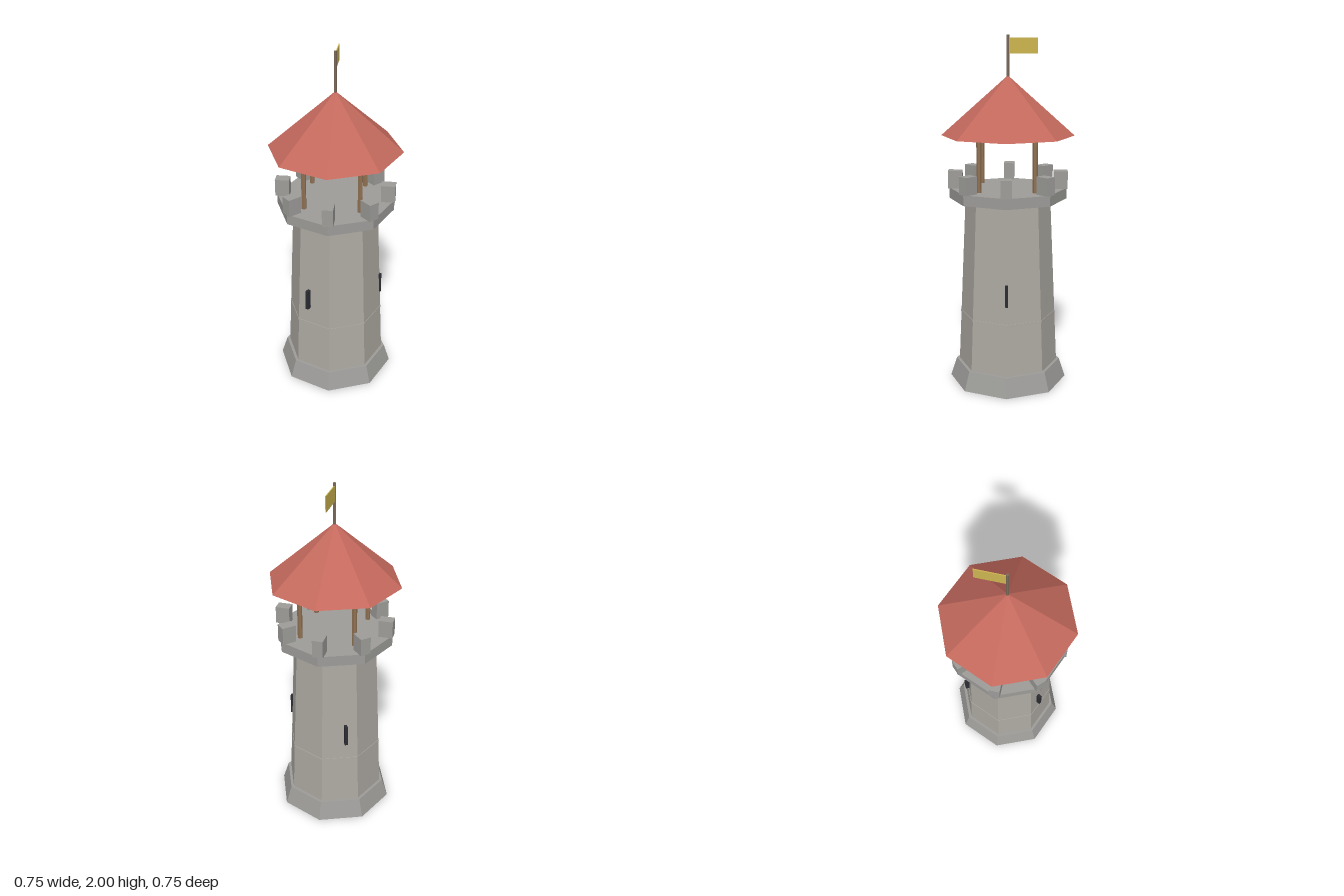
import * as THREE from 'three';

const mat = (color) => new THREE.MeshStandardMaterial({ color, flatShading: true });

export function createModel() {
  const tower = new THREE.Group();
  tower.name = 'watchtower';
  const wall = mat(0xada9a2), stone = mat(0x9d9c99), wood = mat(0x8f7152);
  const roofRed = mat(0xc4695d), slit = mat(0x2c2d33), pole = mat(0x7d6a5a), gold = mat(0xcdb550);

  function add(name, geometry, material, x = 0, y = 0, z = 0) {
    const mesh = new THREE.Mesh(geometry, material);
    mesh.name = name;
    mesh.position.set(x, y, z);
    tower.add(mesh);
    return mesh;
  }
  // upright prism or cone frustum between two heights
  function prism(name, rTop, rBottom, y0, y1, sides, material, x = 0, z = 0) {
    const geometry = new THREE.CylinderGeometry(rTop, rBottom, y1 - y0, sides);
    return add(name, geometry, material, x, (y0 + y1) / 2, z);
  }
  // box turned so that its local x points outward at the given angle
  function radialBox(name, size, radius, y, angle, material) {
    const mesh = add(name, new THREE.BoxGeometry(...size), material,
      radius * Math.cos(angle), y, radius * Math.sin(angle));
    mesh.rotation.y = -angle;
  }

  // octagonal masonry
  prism('foundation', 0.305, 0.34, 0, 0.11, 8, stone);
  prism('towerWall', 0.243, 0.288, 0.1, 1.09, 8, wall);
  prism('stringCourse', 0.2765, 0.277, 0.402, 0.414, 8, wall);
  prism('platform', 0.335, 0.335, 1.085, 1.145, 8, stone);

  // battlements, one on each corner
  for (let i = 0; i < 8; i++) {
    radialBox('merlon', [0.08, 0.1, 0.06], 0.3, 1.195, i * Math.PI / 4, stone);
  }

  // three window slits
  for (let i = 0; i < 3; i++) {
    radialBox('windowSlit', [0.026, 0.125, 0.017], 0.262, 0.58, i * Math.PI * 2 / 3, slit);
  }

  // four posts carrying the roof
  for (const x of [-0.155, 0.155]) {
    for (const z of [-0.155, 0.155]) prism('roofPost', 0.014, 0.014, 1.14, 1.45, 6, wood, x, z);
  }

  // roof and flag
  add('roof', new THREE.ConeGeometry(0.377, 0.335, 8), roofRed, 0, 1.6125, 0);
  prism('flagPole', 0.008, 0.008, 1.76, 2, 6, pole);
  add('flag', new THREE.BoxGeometry(0.005, 0.087, 0.16), gold, 0, 1.942, -0.086);

  return tower;
}
